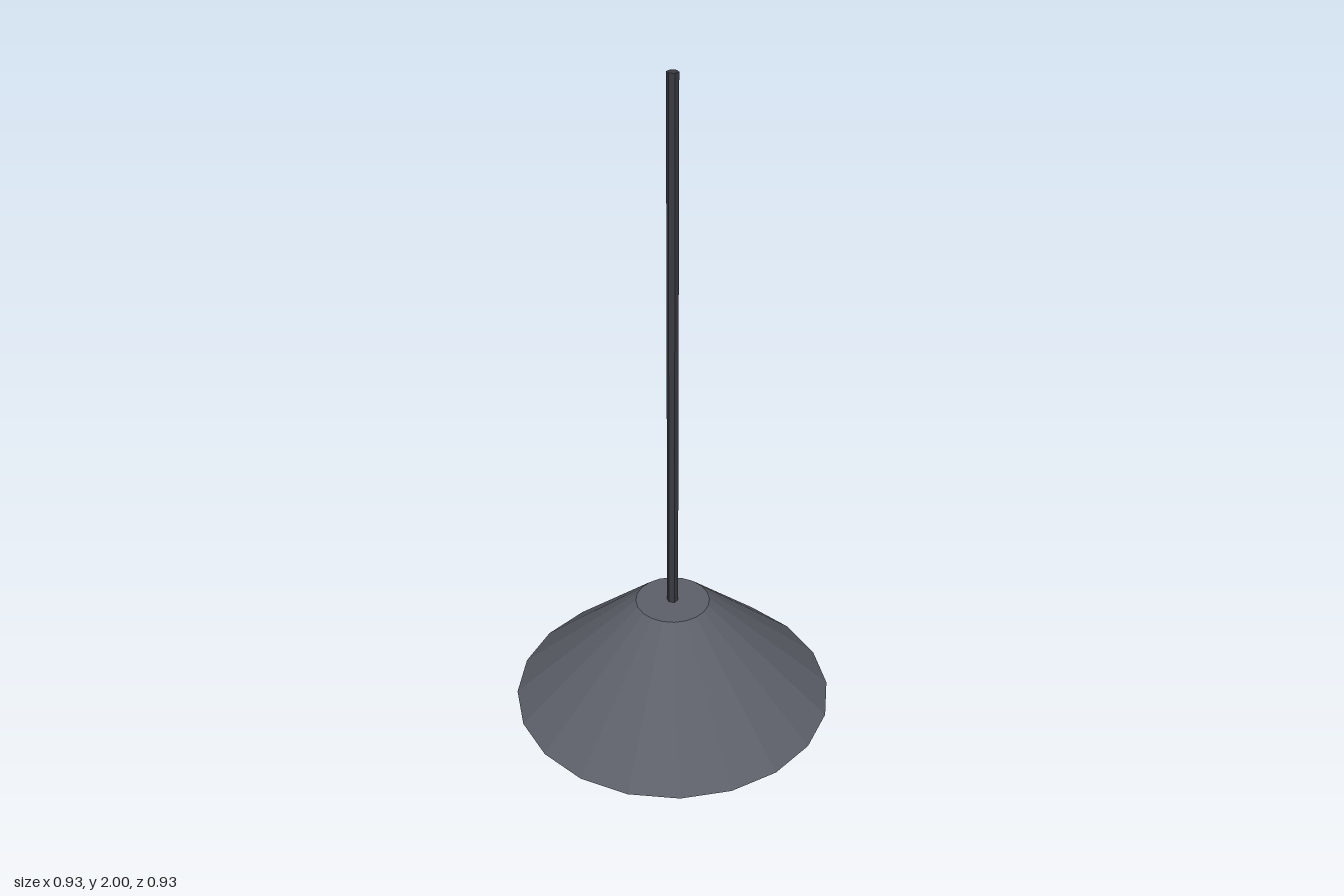
import * as THREE from 'three';

export function createModel() {
  const lamp = new THREE.Group();
  lamp.name = 'pendantLamp';

  const makeMaterial = (name, color, flatShading) => {
    const m = new THREE.MeshStandardMaterial({ color, flatShading });
    m.name = name;
    return m;
  };
  const shadeGrey = makeMaterial('shadeGrey', 0x5c5f68, true);
  const rodCharcoal = makeMaterial('rodCharcoal', 0x3a3b42, true);
  const bulbCream = makeMaterial('bulbCream', 0xd8cfb6, false);

  const addPart = (name, geometry, material, y) => {
    const mesh = new THREE.Mesh(geometry, material);
    mesh.name = name;
    mesh.position.y = y;
    lamp.add(mesh);
  };

  const rimY = 0.105, shadeTop = 0.435, rodTop = 2;

  // Faceted conical shade, closed at both ends
  addPart('shade', new THREE.CylinderGeometry(0.107, 0.466, shadeTop - rimY, 20),
    shadeGrey, (rimY + shadeTop) / 2);

  // Six-sided hanging rod
  addPart('rod', new THREE.CylinderGeometry(0.016, 0.016, rodTop - shadeTop, 6),
    rodCharcoal, (rodTop + shadeTop) / 2);

  // Round bulb, half sunk into the shade
  addPart('bulb', new THREE.SphereGeometry(0.124, 12, 8), bulbCream, 0.126);

  return lamp;
}
